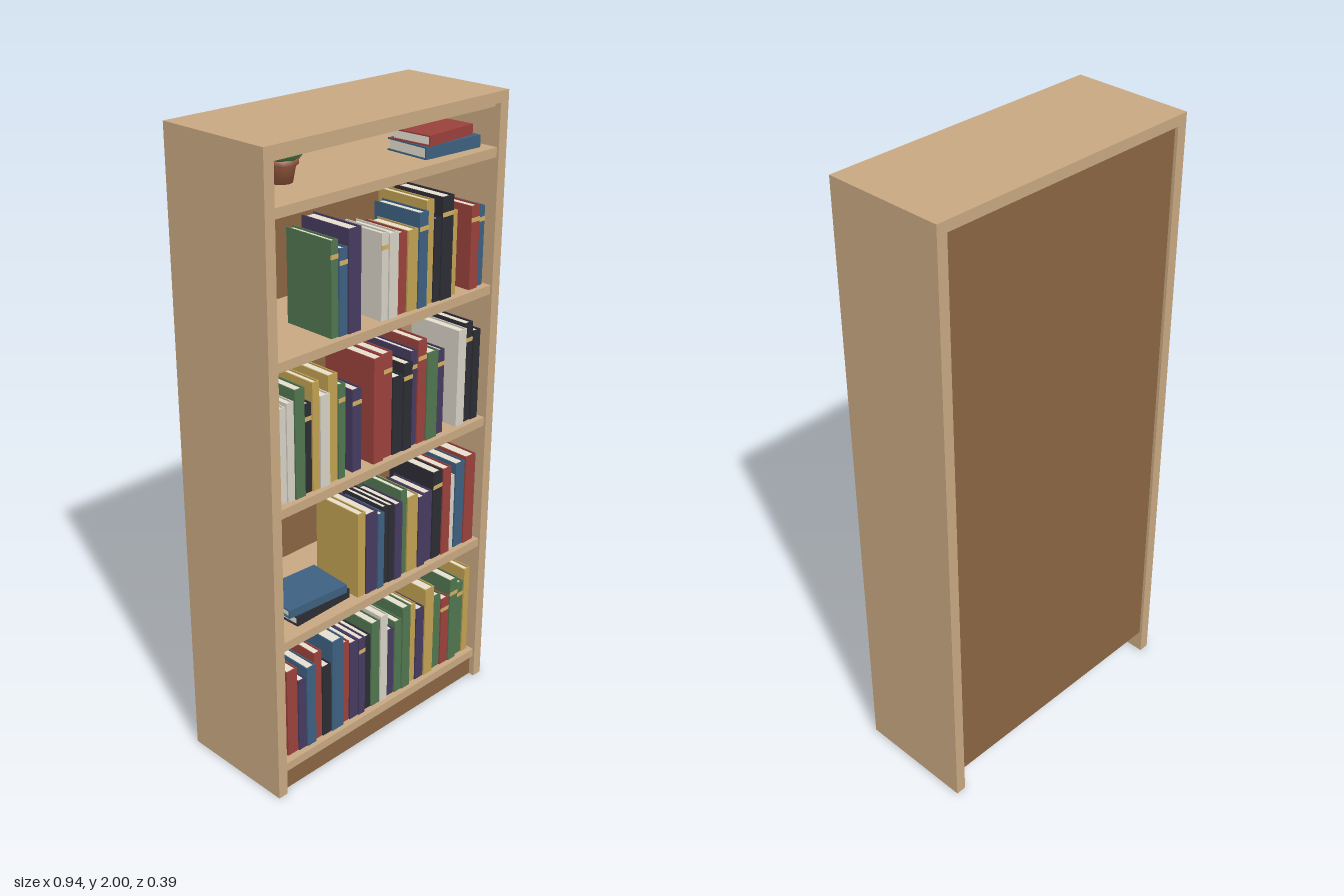
import * as THREE from 'three';

const mats = {};
const mat = (c) => (mats[c] ??= new THREE.MeshStandardMaterial({ color: c }));
const WOOD = 0xc8a882, DARK = 0x8a6543, PAGES = 0xe6dfcf, GOLD = 0xd0ae62;
const COVERS = {
  r: 0x9a413b, g: 0x50754f, b: 0x3d6080, p: 0x463a60, y: 0xc0a052, c: 0xd6d1c4, k: 0x2c2c34,
};

// box given by its min and max corners
function box(parent, name, color, x0, x1, y0, y1, z0, z1) {
  const m = new THREE.Mesh(new THREE.BoxGeometry(x1 - x0, y1 - y0, z1 - z0), mat(color));
  m.position.set((x0 + x1) / 2, (y0 + y1) / 2, (z0 + z1) / 2);
  m.name = name;
  parent.add(m);
  return m;
}

// upright book: spine at z = 0 facing +z, standing on y = 0, centred on x
function makeBook(w, h, d, color, band) {
  const g = new THREE.Group();
  g.name = 'book';
  const t = Math.min(0.004, w * 0.15), x = w / 2;
  box(g, 'leftCover', color, x - t, x, 0, h, -d, 0);
  box(g, 'rightCover', color, -x, -x + t, 0, h, -d, 0);
  box(g, 'spine', color, -x + t, x - t, 0, h, -t, 0);
  box(g, 'pages', PAGES, -x + t, x - t, 0.004, h - 0.005, -d + 0.005, -t);
  if (band) box(g, 'spineBand', GOLD, -x, x, h * 0.81, h * 0.81 + 0.013, -0.004, 0.0015);
  return g;
}

// row text: colour, width, height (both in thousandths), * for a gold band; "_" is a gap
const ROWS = [
  { y: 0.106, x: -0.4, books: 'r42,305 p32,255 b37,287 r32,318 k37,255 b48,330 r32,297 p36,285 p28,285* k32,275 g37,312 c32,323 p37,250 g32,270 g37,308 y32,297 p37,270 y42,330 g42,281 r37,255* g37,313* g37,281* y27,323' },
  { y: 0.541, x: -0.103, books: 'y32,287 p47,276 b27,260 k24,272 k24,270 p32,265 g27,297 y47,265 p32,249 p37,249 k42,308* r37,308 c27,265 b42,302 r47,313' },
  { y: 0.98, x: -0.416, books: 'c32,292 c27,302 g37,334 k32,276* y27,334 c37,286 y37,334 g27,297* _32 p37,260* _42 r42,334 r42,334* k42,249 k37,281* p27,308* r37,334* g48,286 p37,276* _53 c37,318 k37,329* k32,297' },
  { y: 1.419, x: -0.21, books: 'g27,279* b32,252* p48,300 _84 c27,258* c37,252 r42,241 y42,241 b37,284* y32,310 k27,252 k48,310* y27,257 _53 r37,257* b32,246*' },
];

function makeRow({ y, x, books }) {
  const row = new THREE.Group();
  row.name = 'bookRow';
  books.split(' ').forEach((s, i) => {
    const [w, h] = s.slice(1).split(',').map((v) => parseInt(v) / 1000);
    if (s[0] !== '_') {
      const b = makeBook(w - 0.001, h, h * 0.45 + 0.05, COVERS[s[0]], s.endsWith('*'));
      b.position.set(x + w / 2, y, 0.168 + 0.004 * ((i * 7) % 3 - 1));
      row.add(b);
    }
    x += w;
  });
  return row;
}

// book lying flat, spine to the front
function flatBook(parent, x, y, len, thick, depth, color, turn) {
  const b = makeBook(thick, len, depth, color, false);
  b.rotation.z = Math.PI / 2;
  b.position.set(len / 2, thick / 2, depth / 2);
  const g = new THREE.Group();
  g.name = 'lyingBook';
  g.add(b);
  g.position.set(x, y, 0.07);
  g.rotation.y = turn;
  parent.add(g);
}

function makePlant() {
  const g = new THREE.Group();
  g.name = 'pottedPlant';
  const pts = [[0, 0], [0.032, 0], [0.042, 0.05], [0.048, 0.05], [0.05, 0.066], [0.041, 0.066], [0.039, 0.056], [0, 0.056]];
  const pot = new THREE.Mesh(
    new THREE.LatheGeometry(pts.map((p) => new THREE.Vector2(...p)), 20), mat(0x9a5a40));
  pot.name = 'pot';
  g.add(pot);
  const leafGeo = new THREE.SphereGeometry(1, 10, 8);
  // crown of plump leaves leaning outward in two rings, plus one on top
  const leaf = (a, r, y, lean) => {
    const m = new THREE.Mesh(leafGeo, mat(0x4a8048));
    m.name = 'leaf';
    m.scale.set(0.02, 0.03, 0.02);
    m.position.set(Math.cos(a) * r, y, Math.sin(a) * r);
    m.rotation.set(Math.sin(a) * lean, 0, -Math.cos(a) * lean);
    g.add(m);
  };
  for (let i = 0; i < 8; i++) leaf((i / 8) * Math.PI * 2, 0.04, 0.083, 0.7);
  for (let i = 0; i < 5; i++) leaf((i / 5) * Math.PI * 2 + 0.3, 0.022, 0.092, 0.3);
  leaf(0, 0, 0.094, 0);
  return g;
}

export function createModel() {
  const model = new THREE.Group();
  model.name = 'bookcase';

  // carcass
  for (const s of [-1, 1]) {
    const x = s * 0.451;
    box(model, s > 0 ? 'leftSide' : 'rightSide', WOOD, x - 0.017, x + 0.017, 0, 2, -0.195, 0.195);
  }
  box(model, 'topPanel', WOOD, -0.434, 0.434, 1.967, 2, -0.195, 0.195);
  box(model, 'topRail', WOOD, -0.434, 0.434, 1.953, 1.961, 0.16, 0.175);
  box(model, 'backPanel', DARK, -0.434, 0.434, 0.08, 1.967, -0.185, -0.173);
  box(model, 'kickBoard', DARK, -0.434, 0.434, 0, 0.08, 0.155, 0.175);
  for (const y of [0.106, 0.541, 0.98, 1.419, 1.838])
    box(model, 'shelf', WOOD, -0.434, 0.434, y - 0.029, y, -0.173, 0.188);

  // standing books
  ROWS.forEach((r) => model.add(makeRow(r)));

  // lying books
  flatBook(model, -0.232, 0.541, 0.222, 0.031, 0.155, COVERS.k, 0.03);
  flatBook(model, -0.246, 0.572, 0.222, 0.028, 0.155, COVERS.b, -0.07);
  flatBook(model, 0.295, 1.838, 0.22, 0.036, 0.155, COVERS.b, -0.05);
  flatBook(model, 0.286, 1.874, 0.195, 0.031, 0.14, COVERS.r, 0.06);

  // plant on the top shelf
  const plant = makePlant();
  plant.position.set(-0.253, 1.838, 0.02);
  model.add(plant);
  return model;
}
